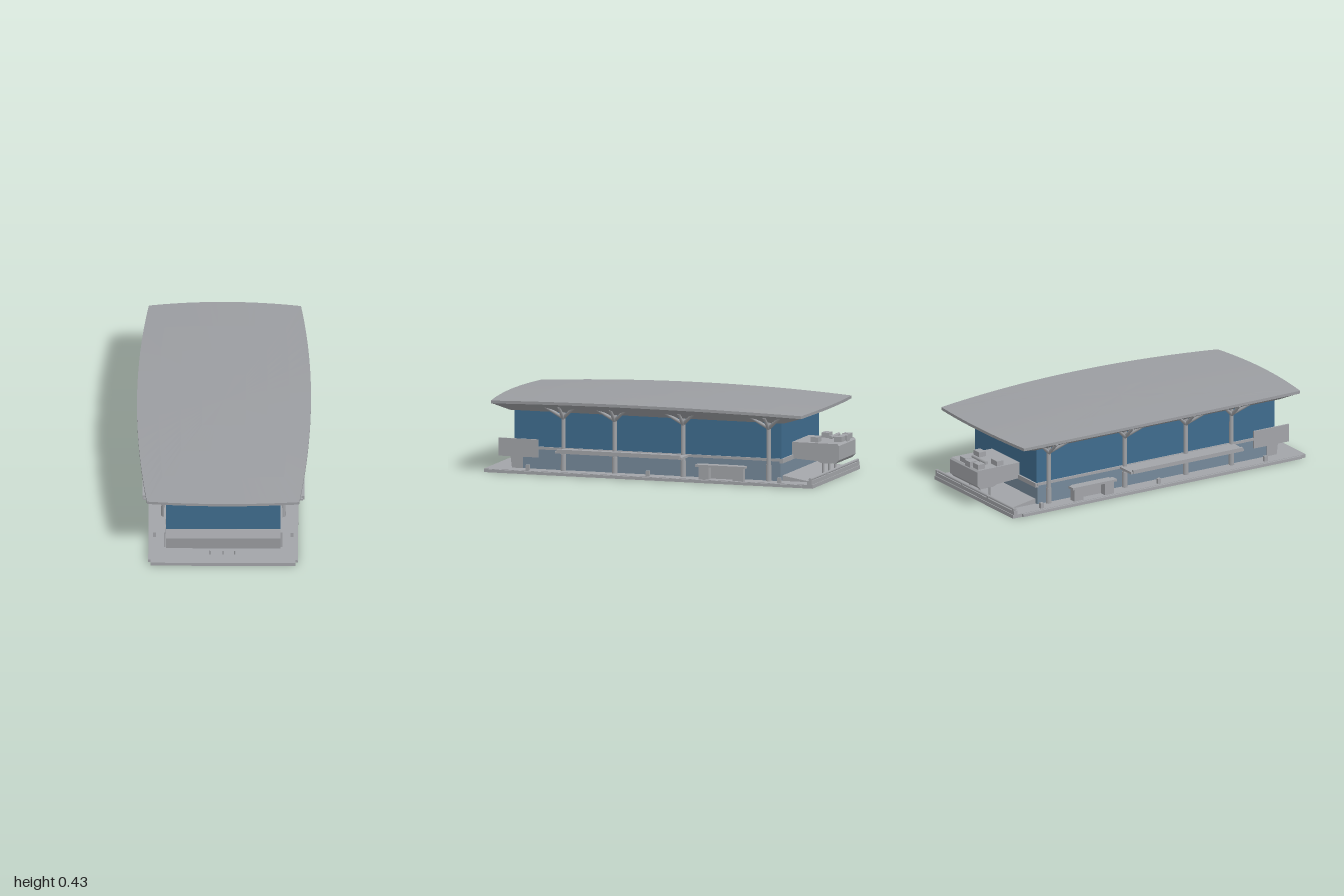
import * as THREE from 'three';

const mat = (name, color, side = THREE.FrontSide) => {
  const m = new THREE.MeshStandardMaterial({ color, side });
  m.name = name;
  return m;
};

export function createModel() {
  const grey = mat('concrete grey', 0xa2a4a8);
  const roofGrey = mat('roof grey', 0x9b9da1, THREE.DoubleSide);
  const blue = mat('blue glass', 0x3f6c8e);
  const panelBlue = mat('grey blue panel', 0x75899a);
  const model = new THREE.Group();
  model.name = 'pavilion';

  const add = (name, geo, m, parent = model) => {
    const mesh = new THREE.Mesh(geo, m);
    mesh.name = name;
    parent.add(mesh);
    return mesh;
  };
  // box given by its min and max on each axis
  const box = (name, x0, x1, y0, y1, z0, z1, m = grey, parent = model) =>
    add(name, new THREE.BoxGeometry(x1 - x0, y1 - y0, z1 - z0)
      .translate((x0 + x1) / 2, (y0 + y1) / 2, (z0 + z1) / 2), m, parent);
  // round bar between two points
  const bar = (name, a, b, r0, r1, parent = model) => {
    const p = new THREE.Vector3(...a), d = new THREE.Vector3(...b).sub(p);
    const mesh = add(name, new THREE.CylinderGeometry(r1, r0, d.length(), 8), grey, parent);
    mesh.position.copy(p).addScaledVector(d, 0.5);
    mesh.quaternion.setFromUnitVectors(new THREE.Vector3(0, 1, 0), d.normalize());
    return mesh;
  };
  // solid with a (z, y) profile, extruded along x
  const profile = (name, pts, width, m) => {
    const shape = new THREE.Shape(pts.map(([z, y]) => new THREE.Vector2(-z, y)));
    const geo = new THREE.ExtrudeGeometry(shape, { depth: width, bevelEnabled: false });
    return add(name, geo.translate(0, 0, -width / 2).rotateY(Math.PI / 2), m);
  };

  // Floor slab with low kerbs
  box('floorSlab', -0.4, 0.4, 0, 0.02, -0.92, 1);
  for (const s of [-1, 1]) box('floorEdge', s * 0.405 - 0.008, s * 0.405 + 0.008, 0.002, 0.018, -0.86, 0.97);
  profile('backRamp', [[-0.71, 0.02], [-0.71, 0.05], [-0.89, 0.02]], 0.6, grey);
  box('backKerb', -0.4, 0.4, 0.02, 0.042, -0.915, -0.89);
  bar('backRail', [-0.4, 0.05, -0.905], [0.4, 0.05, -0.905], 0.008, 0.008);
  for (const x of [-0.39, -0.13, 0.13, 0.39]) box('railPost', x - 0.008, x + 0.008, 0.02, 0.055, -0.915, -0.9);

  // Glazed hall above a solid lower wall
  box('glassHall', -0.315, 0.315, 0.14, 0.35, -0.71, 0.85, blue);
  box('lowerWall', -0.314, 0.314, 0.02, 0.14, -0.705, 0.84, panelBlue);
  profile('frontLowerWall',
    [[0.8, 0.02], [0.865, 0.02], [0.875, 0.095], [0.852, 0.142], [0.8, 0.142]], 0.632, grey);
  box('backSill', -0.32, 0.32, 0.12, 0.145, -0.72, -0.7);
  for (const s of [-1, 1]) box('sideSill', s * 0.317 - 0.006, s * 0.317 + 0.006, 0.13, 0.145, -0.71, 0.84);

  // Roof: closed shell made of concentric outlines
  const n = 20, outline = [];
  for (let i = 0; i < n; i++) outline.push([-1 + 2 * i / n, 1]);
  for (let i = 0; i < n; i++) outline.push([1, 1 - 2 * i / n]);
  for (let i = 0; i < n; i++) outline.push([1 - 2 * i / n, -1]);
  for (let i = 0; i < n; i++) outline.push([-1, -1 + 2 * i / n]);
  const top = (s, t, drop = 0) => [
    s * (0.48 - 0.06 * t * t),
    0.432 - 0.022 * t * t - 0.006 * s * s - drop,
    0.045 + t * (0.935 - 0.028 * s * s)];
  const rings = [
    ...[0, 0.25, 0.5, 0.75, 1].map(k => ([s, t]) => top(k * s, k * t)),
    ([s, t]) => top(s, t, 0.016),
    ([s, t]) => { const p = top(s, t, 0.02); return [p[0] * 0.97, p[1], 0.045 + (p[2] - 0.045) * 0.985]; },
    ([s, t]) => [s * 0.335, 0.345, 0.07 + t * 0.8],
    () => [0, 0.345, 0.07]];
  const P = outline.length, tri = [];
  const quad = (a, b, c, d) => tri.push(...a, ...b, ...c, ...a, ...c, ...d);
  for (let r = 0; r < rings.length - 1; r++)
    for (let i = 0; i < P; i++) {
      const a = outline[i], b = outline[(i + 1) % P];
      quad(rings[r](a), rings[r + 1](a), rings[r + 1](b), rings[r](b));
    }
  const roof = new THREE.BufferGeometry();
  roof.setAttribute('position', new THREE.Float32BufferAttribute(tri, 3));
  roof.computeVertexNormals();
  add('roof', roof, roofGrey);

  // Equipment along both long sides
  for (const s of [-1, 1]) {
    const side = new THREE.Group();
    side.name = s > 0 ? 'leftSide' : 'rightSide';
    model.add(side);
    const sbox = (name, x0, x1, ...rest) =>
      box(name, Math.min(s * x0, s * x1), Math.max(s * x0, s * x1), ...rest, grey, side);

    // Columns with branching heads
    for (const z of [0.56, 0.26, -0.14, -0.64]) {
      bar('column', [s * 0.328, 0.015, z], [s * 0.328, 0.35, z], 0.013, 0.012, side);
      bar('columnSleeve', [s * 0.328, 0.02, z], [s * 0.328, 0.11, z], 0.016, 0.015, side);
      for (const d of [-1, 1])
        bar('branch', [s * 0.328, 0.315, z], [s * 0.4, 0.385, z + d * 0.09], 0.011, 0.007, side);
      bar('outerBranch', [s * 0.328, 0.31, z], [s * 0.41, 0.385, z], 0.011, 0.008, side);
    }

    // Projecting shelf with a raised lip
    sbox('shelf', 0.315, 0.44, 0.13, 0.142, -0.17, 0.57);
    sbox('shelfLip', 0.43, 0.447, 0.132, 0.154, -0.16, 0.56);

    // Upright board beside the front corner
    sbox('sideBoard', 0.317, 0.327, 0.085, 0.185, 0.71, 0.94);

    // Counter on two cabinets, and small bollards
    sbox('counterTop', 0.345, 0.39, 0.088, 0.1, -0.52, -0.23);
    for (const z of [-0.48, -0.28]) sbox('cabinet', 0.35, 0.388, 0.02, 0.09, z - 0.03, z + 0.03);
    sbox('counterBack', 0.335, 0.345, 0.02, 0.1, -0.5, -0.25);
    for (const z of [0.75, 0.05, -0.72]) sbox('bollard', 0.37, 0.388, 0.02, 0.05, z - 0.01, z + 0.01);
  }

  // Front floor posts
  for (const x of [-0.07, 0, 0.065]) bar('floorPost', [x, 0.02, 0.92], [x, 0.045, 0.92], 0.004, 0.004);

  // Plant unit hung on the back wall
  profile('plantUnit',
    [[-0.7, 0.125], [-0.86, 0.115], [-0.88, 0.105], [-0.965, 0.105], [-0.985, 0.125],
      [-0.985, 0.205], [-0.975, 0.215], [-0.7, 0.215]], 0.28, grey);
  for (const [x, z, w] of [[-0.1, -0.83, 0.03], [0.08, -0.83, 0.03], [-0.1, -0.95, 0.025], [0.03, -0.95, 0.028], [-0.03, -0.96, 0.026]])
    box('plantVent', x - w, x + w, 0.21, 0.243, z - 0.022, z + 0.022);
  bar('plantPipe', [-0.1, 0.235, -0.9], [0.04, 0.235, -0.9], 0.01, 0.01);
  for (const x of [-0.1, 0, 0.1]) bar('plantLeg', [x, 0.02, -0.88], [x, 0.12, -0.88], 0.007, 0.007);

  return model;
}
